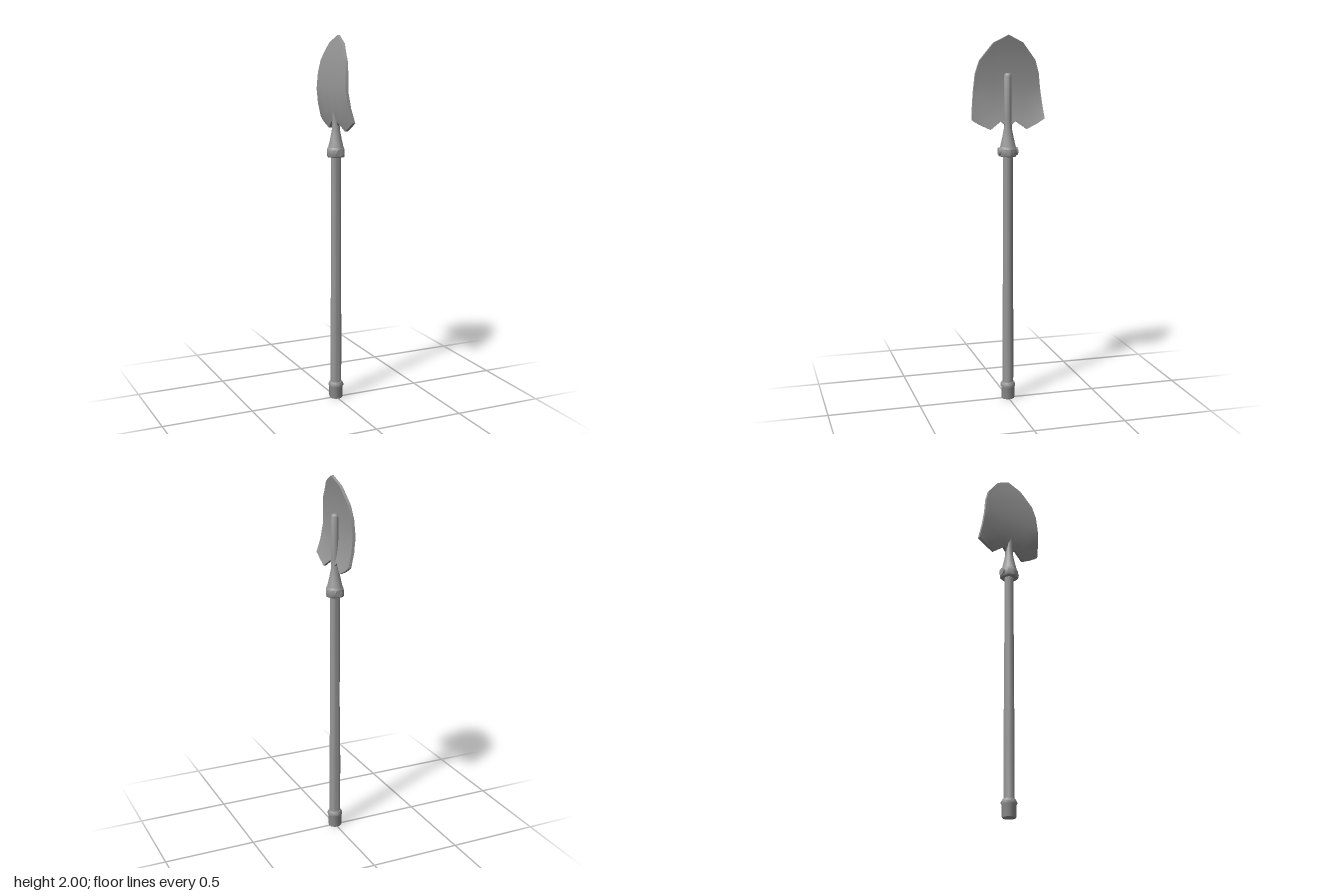
import * as THREE from 'three';
import { toCreasedNormals } from 'three/addons/utils/BufferGeometryUtils.js';

// Linear interpolation through a short list of [key, value] points
function lerpPoints(points, k) {
  for (let i = 1; i < points.length; i++) {
    const [a, va] = points[i - 1], [b, vb] = points[i];
    if (k <= b) return va + (vb - va) * Math.max(0, (k - a) / (b - a));
  }
  return points[points.length - 1][1];
}

// Blade outline: upper and lower edge height by distance from the centre line
const upper = [[0, 2], [0.08, 1.96], [0.153, 1.868], [0.174, 1.8], [0.2, 1.562]];
const lower = [[0, 1.53], [0.02, 1.53], [0.04, 1.548], [0.1, 1.505], [0.16, 1.533], [0.2, 1.558]];
const columns = [0, 0.02, 0.04, 0.08, 0.1, 0.13, 0.153, 0.174, 0.183, 0.192, 0.2];
const dish = new THREE.CatmullRomCurve3([
  [0.014, 1.5], [-0.008, 1.58], [-0.021, 1.68], [-0.02, 1.78], [-0.006, 1.9], [0.015, 2],
].map(([x, y]) => new THREE.Vector3(x, y, 0))).getPoints(30).map((p) => [p.y, p.x]);

// Dished blade: a subdivided box shaped to the outline
function bladeGeometry() {
  const n = columns.length - 1;
  const geo = new THREE.BoxGeometry(1, 1, 1, 1, 14, 2 * n);
  const pos = geo.attributes.position;
  for (let i = 0; i < pos.count; i++) {
    const s = pos.getZ(i) * 2;
    const d = columns[Math.round(Math.abs(s) * n)];
    const low = lerpPoints(lower, d);
    const y = low + (lerpPoints(upper, d) - low) * (pos.getY(i) + 0.5);
    const flare = 0.012 * (d / 0.2) ** 4 * THREE.MathUtils.clamp((1.7 - y) / 0.12, 0, 1);
    pos.setXYZ(i, lerpPoints(dish, y) + flare + pos.getX(i) * 0.016, y, Math.sign(s) * d);
  }
  geo.computeVertexNormals();
  return geo;
}

export function createModel() {
  const group = new THREE.Group();
  const grey = new THREE.MeshStandardMaterial({ color: 0x999999 });
  grey.name = 'grey';

  const add = (name, geo) => {
    const mesh = new THREE.Mesh(geo, grey);
    mesh.name = name;
    group.add(mesh);
    return mesh;
  };
  // Turned part from [radius, y] points, bottom to top
  const turned = (name, profile, sides) => {
    const geo = new THREE.LatheGeometry(profile.map(([r, y]) => new THREE.Vector2(r, y)), sides, Math.PI / 2);
    return add(name, toCreasedNormals(geo, 0.85));
  };

  turned('shaft', [[0.03, 0.08], [0.031, 0.4], [0.027, 0.75], [0.027, 1.37]], 10);
  turned('endCap', [[0, 0], [0.035, 0], [0.038, 0.008], [0.038, 0.065], [0.042, 0.072],
    [0.042, 0.08], [0.034, 0.095], [0, 0.095]], 12);
  turned('collar', [[0, 1.36], [0.046, 1.36], [0.05, 1.365], [0.05, 1.4], [0.044, 1.412], [0, 1.412]], 8);
  turned('socket', [[0.044, 1.41], [0.032, 1.46], [0.022, 1.51], [0.021, 1.56],
    [0.021, 1.79], [0.015, 1.8], [0, 1.8]], 8);

  // Bolt heads on the front and back of the collar
  for (const side of [1, -1]) {
    const bolt = add(side > 0 ? 'frontBolt' : 'backBolt', new THREE.CylinderGeometry(0.021, 0.023, 0.014, 8));
    bolt.rotation.x = side * Math.PI / 2;
    bolt.position.set(0, 1.387, side * 0.046);
  }

  add('blade', bladeGeometry());
  return group;
}
